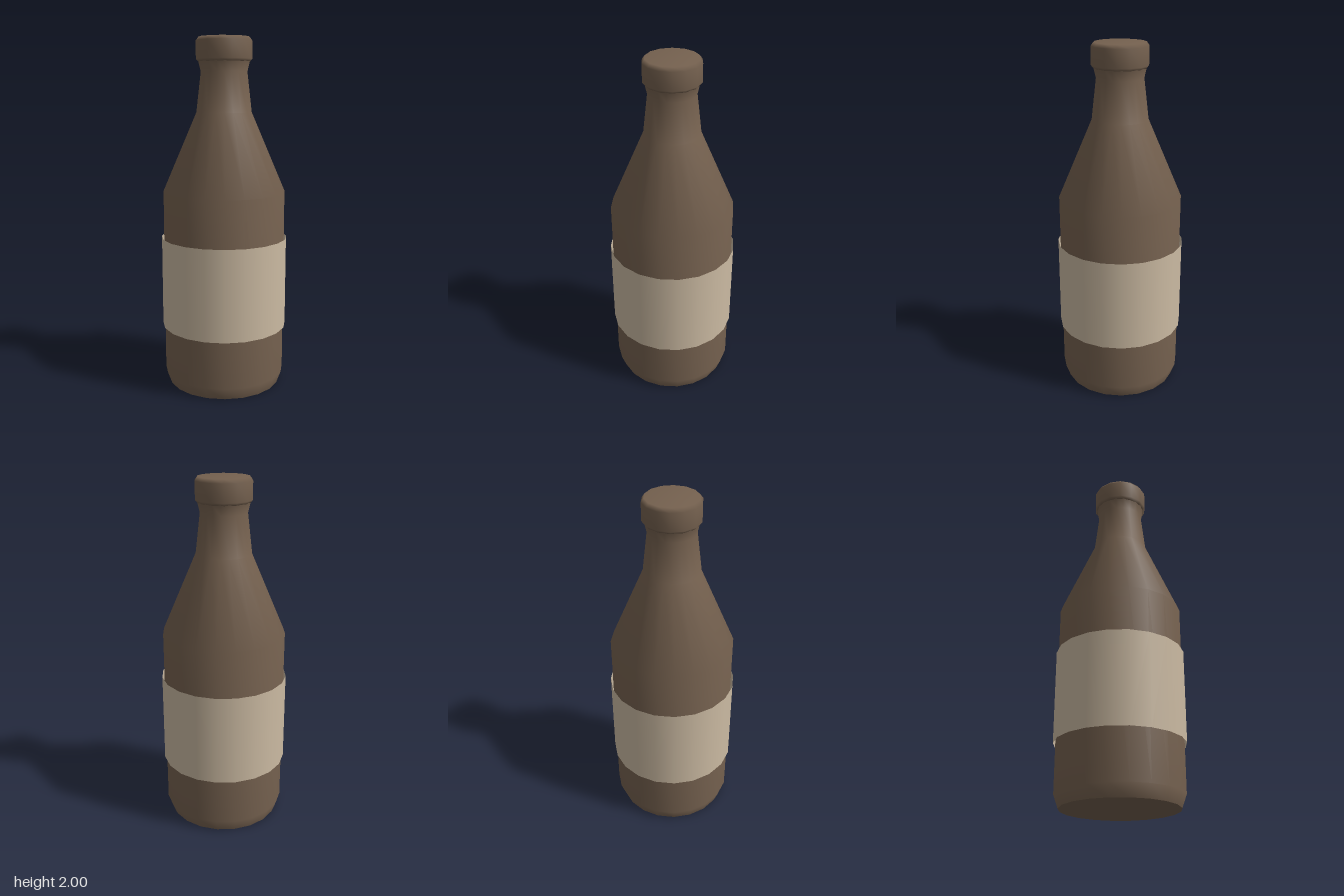
import * as THREE from 'three';

export function createModel() {
  const model = new THREE.Group();
  model.name = 'bottle';
  const brown = new THREE.MeshStandardMaterial({ color: 0x75614f });
  brown.name = 'brown glass';
  const cream = new THREE.MeshStandardMaterial({ color: 0xcbbaa2, side: THREE.DoubleSide });
  cream.name = 'cream paper';

  const add = (name, geometry, material) => {
    const mesh = new THREE.Mesh(geometry, material);
    mesh.name = name;
    model.add(mesh);
    return mesh;
  };
  // smooth turned shape from [radius, height] pairs, bottom to top
  const lathe = (points, sides) =>
    new THREE.LatheGeometry(points.map(([r, y]) => new THREE.Vector2(r, y)), sides);

  // body, shoulder and neck, flaring out under the cap
  add('body', lathe([
    [0.325, 0], [0.35, 0.07], [0.35, 1.135], [0.157, 1.585], [0.131, 1.81], [0.145, 1.87],
  ], 20), brown);

  // flat underside with a sharp rim
  add('base', new THREE.CircleGeometry(0.325, 20).rotateX(Math.PI / 2), brown);

  // cap with softened rims
  add('cap', lathe([
    [0, 1.865], [0.145, 1.865], [0.158, 1.88], [0.158, 1.98], [0.143, 2], [0, 2],
  ], 14), brown);

  // open paper band around the body
  const label = add('label', new THREE.CylinderGeometry(0.363, 0.363, 0.525, 20, 1, true), cream);
  label.position.y = 0.6075;

  return model;
}
